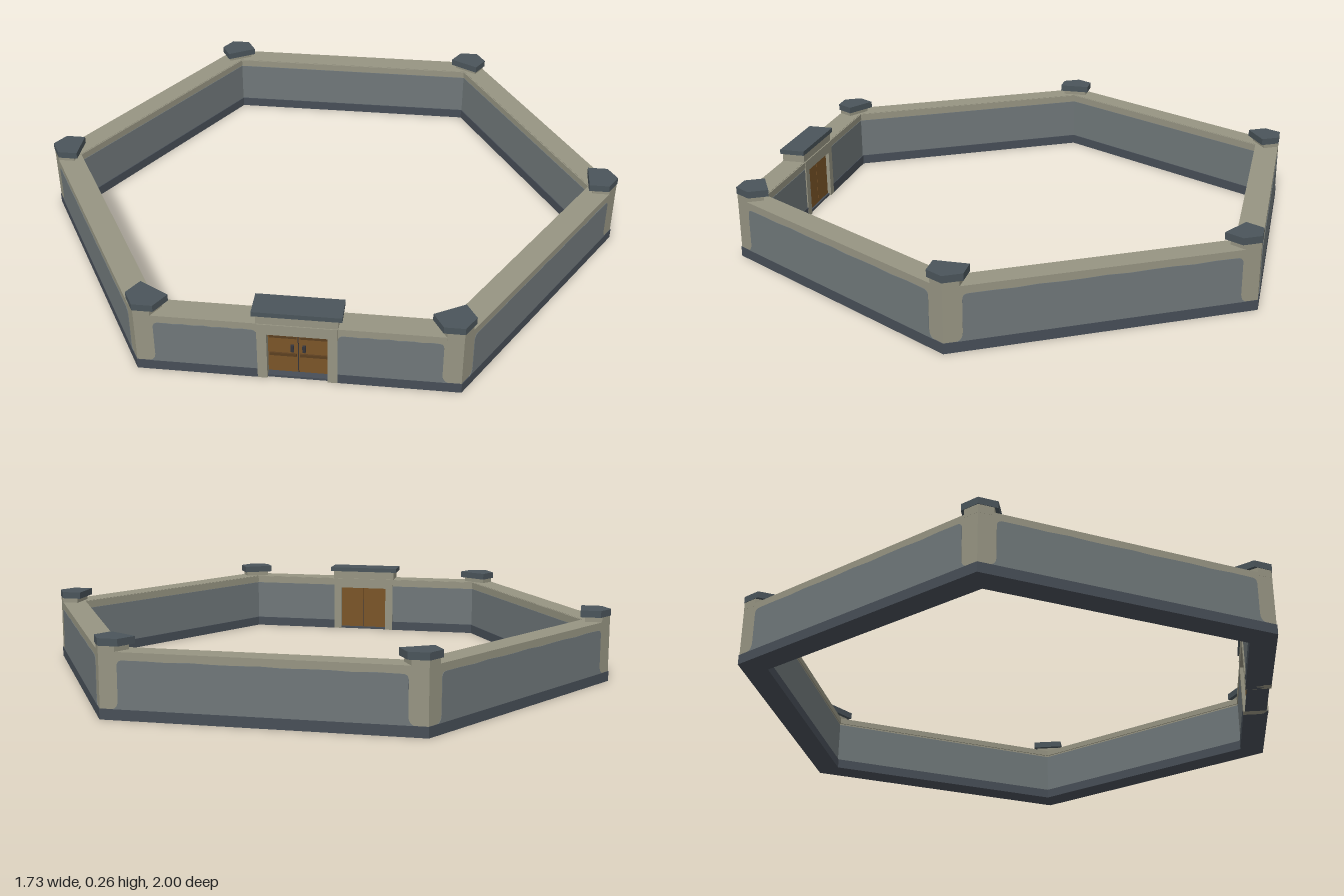
import * as THREE from 'three';

const mat = (name, color, side = THREE.FrontSide) => {
  const m = new THREE.MeshStandardMaterial({ color, side });
  m.name = name;
  return m;
};

export function createModel() {
  const trim = mat('sandstone trim', 0x969482);
  const stone = mat('grey stone', 0x6f7779);
  const base = mat('dark footing', 0x474e57);
  const slate = mat('slate cap', 0x4a545a);
  const wood = mat('door wood', 0x7a5428);
  const darkWood = mat('door banding', 0x5c3f20);
  const iron = mat('iron', 0x34343a);

  const OUT = 0.864, IN = 0.785, TOP = 0.21;
  const root = new THREE.Group();
  root.name = 'hexagonalWall';

  const add = (parent, name, geo, material) => {
    const m = new THREE.Mesh(geo, material);
    m.name = name;
    parent.add(m);
    return m;
  };

  // Upright prism from plan points [x, z]
  const prism = (pts, y0, y1) => {
    const s = new THREE.Shape(pts.map(([x, z]) => new THREE.Vector2(x, z)));
    return new THREE.ExtrudeGeometry(s, { depth: y1 - y0, bevelEnabled: false })
      .rotateX(Math.PI / 2).translate(0, y1, 0);
  };

  // Straight run between two stations; a null station is mitred into the corner
  const run = (a, b, z0, z1, y0, y1) => {
    const l = z => (a === null ? -z / Math.sqrt(3) : a);
    const r = z => (b === null ? z / Math.sqrt(3) : b);
    return prism([[l(z0), z0], [r(z0), z0], [r(z1), z1], [l(z1), z1]], y0, y1);
  };

  const box = (x0, x1, y0, y1, z0, z1) =>
    new THREE.BoxGeometry(x1 - x0, y1 - y0, z1 - z0)
      .translate((x0 + x1) / 2, (y0 + y1) / 2, (z0 + z1) / 2);

  // Rounded stone panel whose foot flares out over the footing
  const panel = (a, b, flareA, flareB) => {
    const s = new THREE.Shape(), y0 = 0.032, y1 = 0.186, r = 0.02;
    s.moveTo(a - flareA, y0);
    s.lineTo(b + flareB, y0);
    s.quadraticCurveTo(b, y0 + 0.004, b, y0 + 0.03);
    s.lineTo(b, y1 - r);
    s.quadraticCurveTo(b, y1, b - r, y1 - 0.001);
    for (let i = 1; i < 12; i++) { // slightly worn upper edge
      s.lineTo(b - r + (a - b + 2 * r) * i / 12, y1 - 0.001 + 0.0015 * Math.sin(i * 2.3));
    }
    s.lineTo(a + r, y1 - 0.001);
    s.quadraticCurveTo(a, y1, a, y1 - r);
    s.lineTo(a, y0 + 0.03);
    s.quadraticCurveTo(a, y0 + 0.004, a - flareA, y0);
    return new THREE.ExtrudeGeometry(s, { depth: 0.0035, bevelEnabled: false, curveSegments: 5 })
      .translate(0, 0, OUT - 0.002);
  };

  // One stretch of wall with footing, coping and panels
  const stretch = (g, a, b) => {
    add(g, 'wall', run(a, b, IN, OUT, 0.03, TOP), trim);
    add(g, 'footing', run(a, b, IN - 0.005, 0.866, 0, 0.034), base);
    add(g, 'copingEdge', run(a, b, IN - 0.004, IN + 0.01, 0.188, TOP - 0.001), trim);
    add(g, 'innerPanel', run(a === null ? null : a + 0.028, b === null ? null : b - 0.028,
      IN - 0.002, IN + 0.004, 0.03, 0.182), stone);
    const pa = a === null ? -0.44 : a + 0.028, pb = b === null ? 0.44 : b - 0.028;
    add(g, 'outerPanel', panel(pa, pb, a === null ? 0.025 : 0, b === null ? 0.025 : 0), stone);
  };

  for (let k = 0; k < 6; k++) {
    const g = new THREE.Group();
    g.name = k === 0 ? 'gateSide' : 'wallSide';
    g.rotation.y = Math.PI / 6 + k * Math.PI / 3;
    root.add(g);
    if (k > 0) { stretch(g, null, null); continue; }

    // Gate side: two stretches around a framed doorway
    const D = 0.093;
    stretch(g, null, -D - 0.002);
    stretch(g, D + 0.002, null);
    for (const s of [-1, 1]) {
      const x = s * (D + 0.015);
      add(g, 'doorJamb', box(x - 0.015, x + 0.015, 0, TOP, IN - 0.006, 0.867), trim);
    }
    add(g, 'doorLintel', box(-D, D, 0.172, TOP, IN - 0.006, 0.867), trim);
    add(g, 'gateParapet', box(-0.125, 0.125, TOP - 0.005, 0.244, IN - 0.002, OUT), trim);
    add(g, 'gateCap', box(-0.137, 0.137, 0.24, 0.256, IN - 0.007, 0.868), slate);
    add(g, 'threshold', box(-D, D, 0, 0.008, IN, 0.86), base);

    // Double doors
    for (const s of [-1, 1]) {
      const x0 = s > 0 ? 0.001 : -D, x1 = s > 0 ? D : -0.001;
      add(g, 'doorLeaf', box(x0, x1, 0.008, 0.172, 0.792, 0.838), wood);
      for (const y of [0.072, 0.142]) {
        add(g, 'doorBand', box(x0 + 0.004, x1 - 0.004, y, y + 0.01, 0.836, 0.843), darkWood);
      }
      add(g, 'doorHandle', box(s * 0.018 - 0.005, s * 0.018 + 0.005, 0.092, 0.116, 0.836, 0.846), iron);
    }
    add(g, 'doorSeam', box(-0.0015, 0.0015, 0.008, 0.172, 0.796, 0.8385), iron);
  }

  // Corner posts: five-sided neck and cap with the point facing outward
  const post = (tip, w, inner) => [
    [0, tip], [-w, tip - w / Math.sqrt(3)], [-w, inner], [w, inner], [w, tip - w / Math.sqrt(3)]];
  for (let k = 0; k < 6; k++) {
    const g = new THREE.Group();
    g.name = 'cornerPost';
    g.rotation.y = k * Math.PI / 3;
    root.add(g);
    add(g, 'postNeck', prism(post(0.998, 0.045, 0.915), 0.2, 0.23), trim);
    add(g, 'postCap', prism(post(1, 0.056, 0.9), 0.227, 0.25), slate);
  }
  return root;
}
